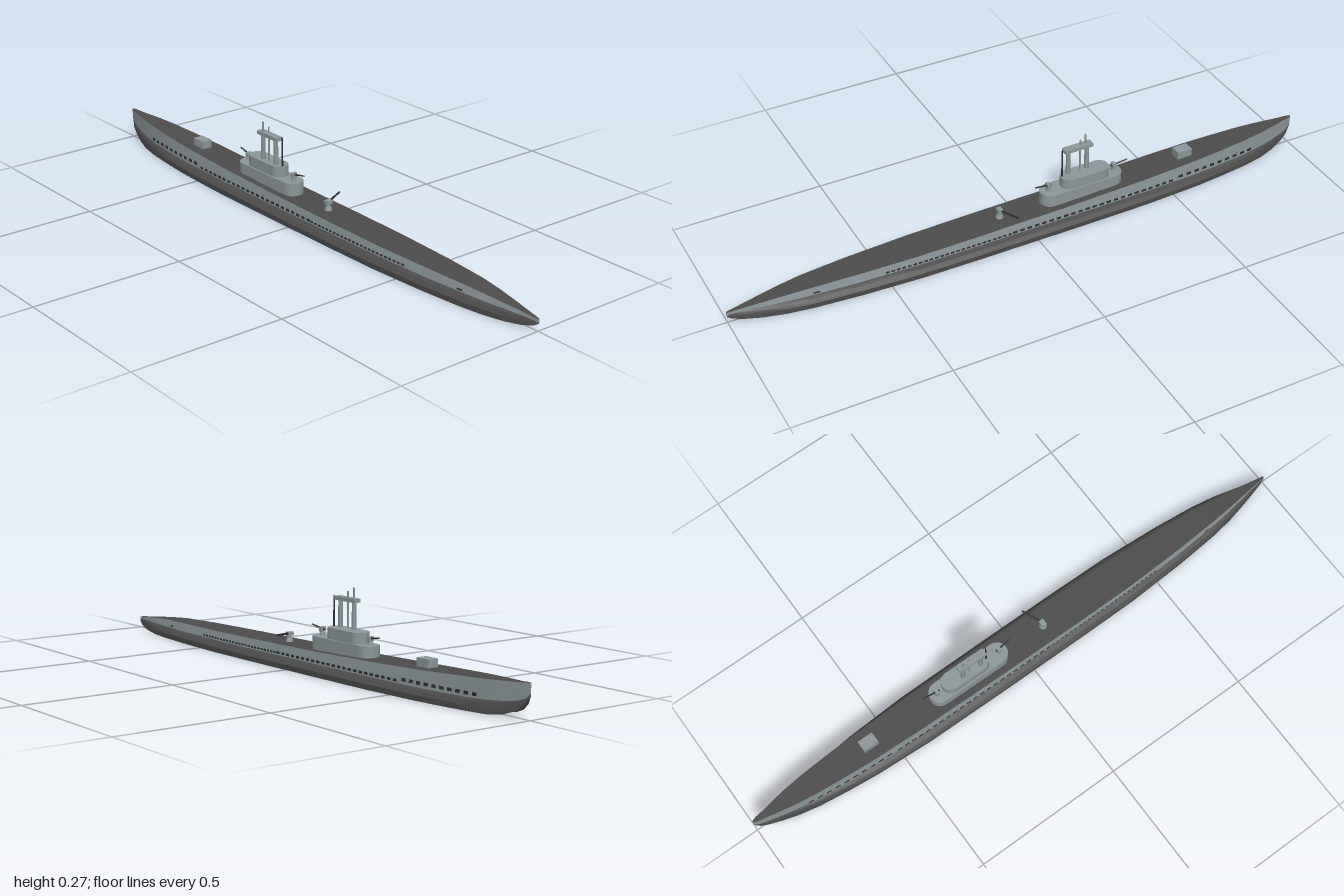
import * as THREE from 'three';
import { toCreasedNormals } from 'three/addons/utils/BufferGeometryUtils.js';

// Hull stations from bow to stern: z, hull half width, wall foot half width,
// deck half width, deck height, shoulder height, keel edge height
const STATIONS = [
  [-1.0, 0.001, 0.001, 0.003, 0.104, 0.072, 0.066],
  [-0.985, 0.008, 0.005, 0.008, 0.103, 0.058, 0.042],
  [-0.96, 0.014, 0.010, 0.012, 0.101, 0.050, 0.022],
  [-0.92, 0.024, 0.018, 0.020, 0.099, 0.043, 0.007],
  [-0.87, 0.037, 0.028, 0.029, 0.097, 0.039, 0],
  [-0.8, 0.052, 0.038, 0.038, 0.094, 0.036, 0],
  [-0.7, 0.065, 0.048, 0.046, 0.090, 0.035, 0],
  [-0.6, 0.075, 0.055, 0.052, 0.086, 0.034, 0],
  [-0.4, 0.085, 0.061, 0.057, 0.079, 0.034, 0],
  [-0.1, 0.087, 0.062, 0.058, 0.071, 0.034, 0],
  [0.2, 0.087, 0.062, 0.058, 0.067, 0.034, 0],
  [0.4, 0.085, 0.060, 0.056, 0.064, 0.034, 0],
  [0.6, 0.074, 0.052, 0.047, 0.062, 0.034, 0],
  [0.75, 0.060, 0.040, 0.036, 0.059, 0.034, 0],
  [0.83, 0.047, 0.031, 0.027, 0.054, 0.034, 0],
  [0.9, 0.030, 0.019, 0.017, 0.048, 0.033, 0.001],
  [0.95, 0.017, 0.011, 0.010, 0.043, 0.032, 0.006],
  [0.985, 0.008, 0.005, 0.005, 0.040, 0.030, 0.014],
  [1.0, 0.003, 0.002, 0.003, 0.038, 0.029, 0.022],
];

// Station values at any z
function stationAt(z) {
  let i = 0;
  while (i < STATIONS.length - 2 && STATIONS[i + 1][0] < z) i++;
  const a = STATIONS[i], b = STATIONS[i + 1];
  const t = (z - a[0]) / (b[0] - a[0]);
  return a.map((v, k) => v + (b[k] - v) * t);
}

// Point on the casing wall at height y
function wallPoint(side, z, y) {
  const [, , foot, deck, top, low] = stationAt(z);
  const t = (y - low) / (top - low);
  return [side * (foot + (deck - foot) * t + 0.001), y, z];
}

// Surface through equal-length cross-sections
function loft(sections, crease) {
  const n = sections[0].length, index = [];
  for (let i = 0; i < sections.length - 1; i++)
    for (let j = 0; j < n - 1; j++) {
      const a = i * n + j, b = a + n;
      index.push(a, b, a + 1, b, b + 1, a + 1);
    }
  const g = new THREE.BufferGeometry();
  g.setAttribute('position', new THREE.Float32BufferAttribute(sections.flat(2), 3));
  g.setIndex(index);
  return toCreasedNormals(g, crease);
}

// Upright block with rounded ends, optionally a hollow ring
function stadium(halfWidth, length, y0, y1, z, wall = 0) {
  const outline = (target, r, h) => {
    target.moveTo(r, -h);
    target.lineTo(r, h);
    target.absarc(0, h, r, 0, Math.PI, false);
    target.lineTo(-r, -h);
    target.absarc(0, -h, r, Math.PI, Math.PI * 2, false);
    return target;
  };
  const h = length / 2 - halfWidth;
  const s = outline(new THREE.Shape(), halfWidth, h);
  if (wall) s.holes.push(outline(new THREE.Path(), halfWidth - wall, h));
  const g = new THREE.ExtrudeGeometry(s, { depth: y1 - y0, bevelEnabled: false, curveSegments: 6 });
  return g.rotateX(-Math.PI / 2).translate(0, y0, z);
}

export function createModel() {
  const model = new THREE.Group();
  const mat = (name, color, side = THREE.FrontSide) => {
    const m = new THREE.MeshStandardMaterial({ color, side });
    m.name = name;
    return m;
  };
  const gray = mat('light gray', 0x8c9698);
  const casing = mat('casing gray', 0x8c9698, THREE.DoubleSide);
  const dark = mat('deck gray', 0x4c4c4c, THREE.DoubleSide);
  const black = mat('slot black', 0x2c2e30, THREE.DoubleSide);

  const add = (name, geometry, material, parent = model) => {
    const m = new THREE.Mesh(geometry, material);
    m.name = name;
    parent.add(m);
    return m;
  };
  const box = (name, w, h, d, x, y, z, material = gray, parent = model) =>
    add(name, new THREE.BoxGeometry(w, h, d).translate(x, y, z), material, parent);
  const rod = (name, r0, r1, from, to, material = gray, parent = model) => {
    const a = new THREE.Vector3(...from), b = new THREE.Vector3(...to);
    const m = add(name, new THREE.CylinderGeometry(r1, r0, a.distanceTo(b), 8), material, parent);
    m.position.copy(a).add(b).multiplyScalar(0.5);
    m.quaternion.setFromUnitVectors(new THREE.Vector3(0, 1, 0), b.sub(a).normalize());
    return m;
  };

  // Open-bottomed hull: dark lower sides, light casing walls, dark deck
  for (const side of [1, -1]) {
    const order = (pts) => (side > 0 ? pts.reverse() : pts);
    add('lowerHull', loft(STATIONS.map(([z, w, f, , , s, k]) => order([
      [side * w * 0.985, k, z],
      [side * w, k + (s - k) * 0.5, z],
      [side * (w - (w - f) * 0.4), k + (s - k) * 0.84, z],
      [side * f, s, z],
    ])), 0.5), dark);
    add('casingWall', loft(STATIONS.map(([z, , f, d, t, s]) => order([
      [side * f, s, z], [side * d, t, z],
    ])), 0.5), casing);
  }
  add('deck', loft(STATIONS.map(([z, , , d, t]) => [[-d, t, z], [d, t, z]]), 0.5), dark);
  // Blunt closing faces at the two ends
  box('sternCap', 0.008, 0.012, 0.004, 0, 0.032, 0.998);
  box('bowCap', 0.004, 0.03, 0.003, 0, 0.088, -0.9985);

  // Flood slots along both casing walls
  const slots = [];
  const slotRow = (z0, z1, step, length, y0, y1) => {
    for (let z = z0; z > z1; z -= step)
      for (const side of [1, -1]) {
        const p = [[z, y0], [z - length, y0], [z - length, y1], [z, y1]]
          .map(([pz, py]) => wallPoint(side, pz, py));
        for (const k of [0, 1, 2, 0, 2, 3]) slots.push(...p[k]);
      }
  };
  slotRow(0.51, 0.09, 0.018, 0.012, 0.038, 0.044);
  slotRow(0.08, -0.5, 0.026, 0.016, 0.038, 0.046);
  slotRow(-0.53, -0.82, 0.031, 0.017, 0.043, 0.053);
  slotRow(0.74, 0.72, 0.03, 0.02, 0.038, 0.043);
  const slotGeometry = new THREE.BufferGeometry();
  slotGeometry.setAttribute('position', new THREE.Float32BufferAttribute(slots, 3));
  slotGeometry.computeVertexNormals();
  add('floodSlots', slotGeometry, black);

  // Conning tower
  const tower = new THREE.Group();
  tower.name = 'conningTower';
  model.add(tower);
  add('towerSkirt', stadium(0.035, 0.29, 0.064, 0.082, -0.195, 0.003), gray, tower);
  add('gunPlatform', stadium(0.035, 0.29, 0.08, 0.112, -0.195), gray, tower);
  add('bridge', stadium(0.03, 0.17, 0.11, 0.147, -0.208), gray, tower);

  // Periscope shears and masts
  const x = -0.011;
  for (const z of [-0.155, -0.222]) rod('shearMast', 0.008, 0.007, [x, 0.145, z], [x, 0.232, z], gray, tower);
  box('shearCrossbar', 0.024, 0.012, 0.1, x, 0.236, -0.188, gray, tower);
  rod('periscope', 0.003, 0.003, [-0.014, 0.145, -0.218], [-0.014, 0.274, -0.218], gray, tower);
  rod('shortPeriscope', 0.003, 0.003, [-0.008, 0.145, -0.196], [-0.008, 0.262, -0.196], gray, tower);
  rod('antenna', 0.003, 0.002, [-0.005, 0.145, -0.13], [-0.005, 0.243, -0.13], black, tower);

  // Small guns on the platform, one pointing each way
  for (const [z, dir] of [[-0.078, 1], [-0.315, -1]]) {
    const gun = new THREE.Group();
    gun.name = 'platformGun';
    tower.add(gun);
    rod('gunPedestal', 0.009, 0.005, [0, 0.11, z], [0, 0.128, z], gray, gun);
    box('gunShield', 0.018, 0.016, 0.012, 0, 0.131, z, gray, gun);
    rod('gunBarrel', 0.003, 0.002, [0, 0.131, z - dir * 0.01], [0.004, 0.141, z + dir * 0.048], black, gun);
  }

  // Deck gun trained over the side
  const deckGun = new THREE.Group();
  deckGun.name = 'deckGun';
  model.add(deckGun);
  rod('deckGunBase', 0.014, 0.009, [0, 0.066, 0.095], [0, 0.08, 0.095], gray, deckGun);
  rod('deckGunPedestal', 0.007, 0.007, [0, 0.078, 0.095], [0, 0.09, 0.095], gray, deckGun);
  box('deckGunBreech', 0.022, 0.012, 0.016, 0, 0.094, 0.094, gray, deckGun);
  rod('deckGunBarrel', 0.004, 0.003, [-0.008, 0.094, 0.098], [0.07, 0.1, 0.064], black, deckGun);

  // Deck locker on the foredeck
  box('deckLocker', 0.036, 0.03, 0.052, 0, 0.096, -0.575);

  return model;
}
